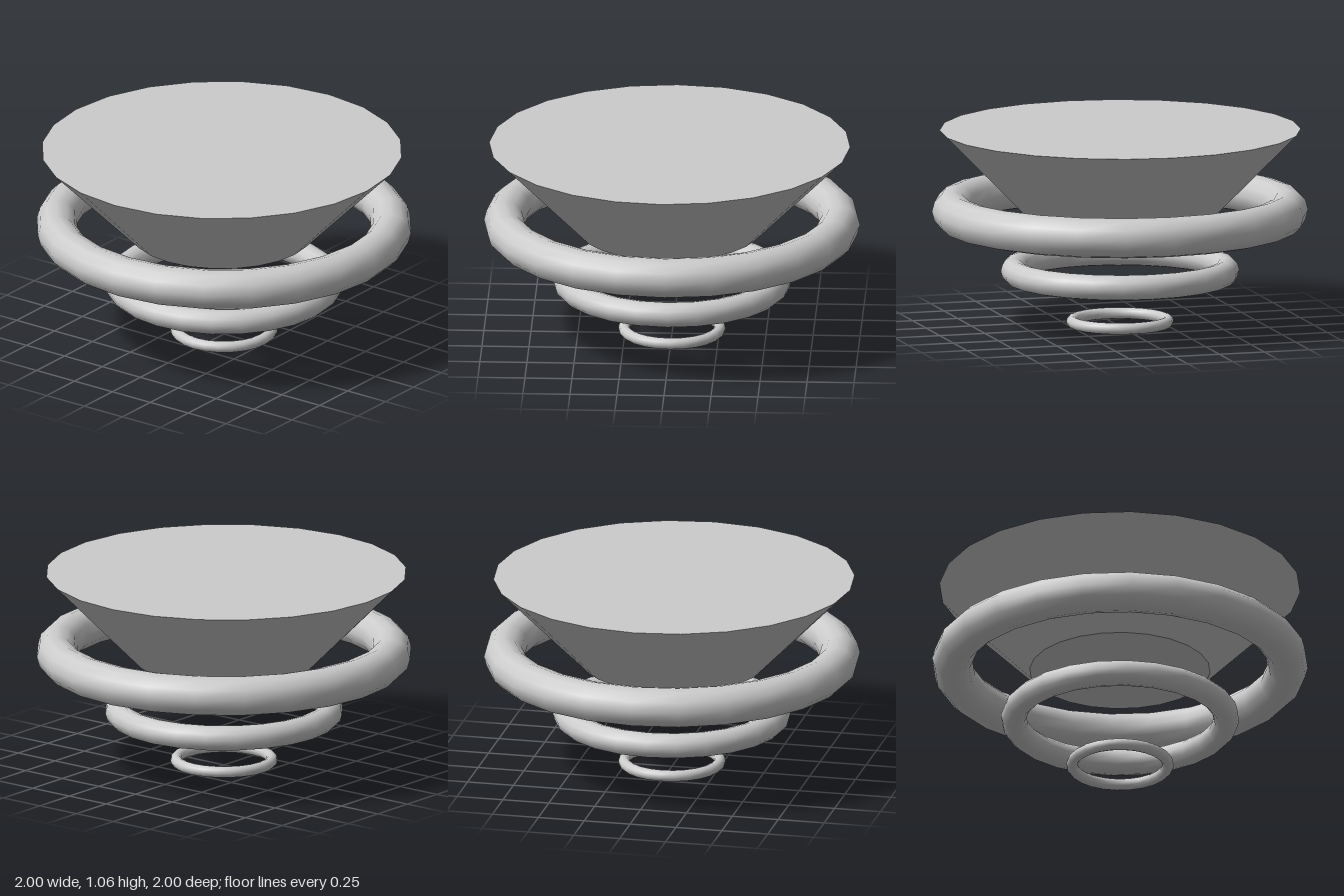
import * as THREE from 'three';

export function createModel() {
  const group = new THREE.Group();
  const material = new THREE.MeshStandardMaterial({ color: 0xcccccc });

  // Closed funnel-shaped body, very slightly off the rings' axis
  const body = new THREE.Mesh(new THREE.CylinderGeometry(0.96, 0.48, 0.485, 24), material);
  body.name = 'taperedBody';
  body.position.set(-0.0125, 0.8175, -0.005);
  group.add(body);

  // Three floating rings shrinking downwards: [name, radius, tube, height]
  const rings = [
    ['upperRing', 0.893, 0.107, 0.625],
    ['middleRing', 0.566, 0.068, 0.303],
    ['lowerRing', 0.255, 0.0306, 0.0306],
  ];
  for (const [name, radius, tube, y] of rings) {
    const geometry = new THREE.TorusGeometry(radius, tube, 12, 24).rotateX(-Math.PI / 2);
    const ring = new THREE.Mesh(geometry, material);
    ring.name = name;
    ring.position.y = y;
    group.add(ring);
  }

  return group;
}
